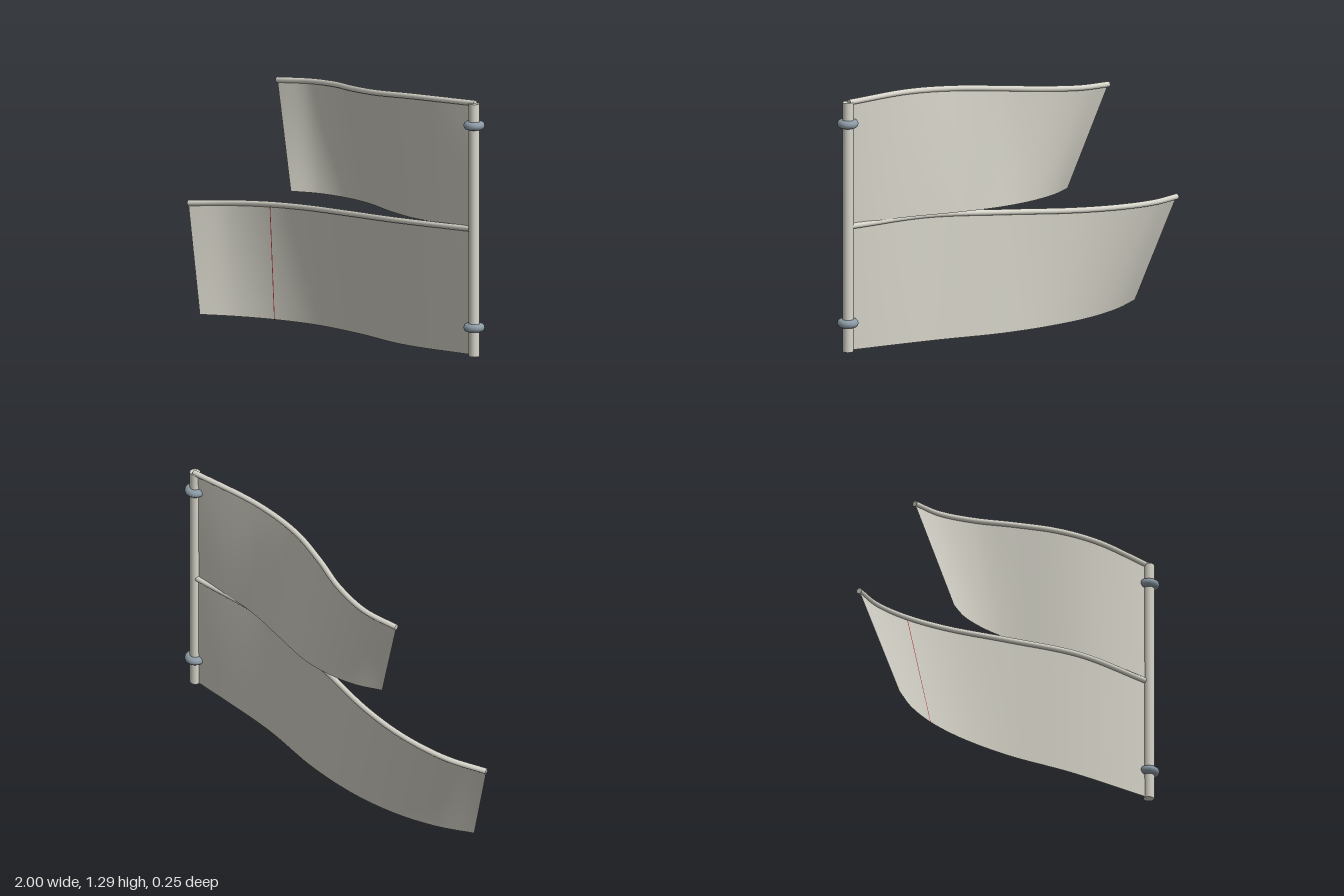
import * as THREE from 'three';

const cloth = new THREE.MeshStandardMaterial({ color: 0xd2d0c5, side: THREE.DoubleSide });
cloth.name = 'cloth';
const rod = new THREE.MeshStandardMaterial({ color: 0xd8d6cb });
rod.name = 'rod';
const steel = new THREE.MeshStandardMaterial({ color: 0x8d9ba6 });
steel.name = 'steel';
const red = new THREE.MeshStandardMaterial({ color: 0xa83232, side: THREE.DoubleSide });
red.name = 'red';

const POLE_X = 0.945, POLE_Z = 0.03;
const curve = (pts) => new THREE.CatmullRomCurve3(pts.map((p) => new THREE.Vector3(...p)));

function part(name, geometry, material, parent) {
  const mesh = new THREE.Mesh(geometry, material);
  mesh.name = name;
  parent.add(mesh);
  return mesh;
}

// Ruled sheet between an upper and a lower edge curve
function sheet(top, bottom, u0 = 0, u1 = 1, dz = 0, cols = 64, rows = 8) {
  const geo = new THREE.PlaneGeometry(1, 1, cols, rows);
  const pos = geo.attributes.position, uv = geo.attributes.uv;
  for (let i = 0; i < pos.count; i++) {
    const u = u0 + (u1 - u0) * uv.getX(i);
    const p = bottom.getPoint(u).lerp(top.getPoint(u), uv.getY(i));
    pos.setXYZ(i, p.x, p.y, p.z + dz);
  }
  geo.computeVertexNormals();
  return geo;
}

// Waving panel with a round bead along its upper edge
function panel(name, top, bottom, parent) {
  const group = new THREE.Group();
  group.name = name;
  part(name + 'Cloth', sheet(top, bottom), cloth, group);
  part(name + 'Bead', new THREE.TubeGeometry(top, 80, 0.014, 12), rod, group);
  // Closed ends of the bead
  [0, 1].forEach((t) => {
    const cap = part(name + 'BeadEnd', new THREE.CircleGeometry(0.014, 12), rod, group);
    const dir = top.getTangentAt(t).multiplyScalar(t ? 1 : -1);
    cap.position.copy(top.getPointAt(t));
    cap.quaternion.setFromUnitVectors(new THREE.Vector3(0, 0, 1), dir);
  });
  parent.add(group);
}

export function createModel() {
  const model = new THREE.Group();
  model.name = 'bannerOnPole';

  // Pole
  part('pole', new THREE.CylinderGeometry(0.026, 0.026, 1.225, 24), rod, model)
    .position.set(POLE_X, 0.6625, POLE_Z);

  // Clamp rings
  [0.19, 1.17].forEach((y) => {
    const ring = part('clampRing', new THREE.TorusGeometry(0.031, 0.02, 12, 32), steel, model);
    ring.rotation.x = Math.PI / 2;
    ring.position.set(POLE_X, y, POLE_Z);
  });

  // Upper panel
  const upperTop = curve([
    [-0.508, 1.157, -0.085], [-0.32, 1.175, -0.112], [-0.12, 1.195, -0.08], [0.08, 1.214, -0.008],
    [0.3, 1.236, 0.053], [0.56, 1.259, 0.065], [0.945, 1.276, 0.022],
  ]);
  const upperBottom = curve([
    [-0.33, 0.655, 0.0], [-0.2, 0.655, -0.058], [-0.04, 0.654, -0.085], [0.12, 0.652, -0.078],
    [0.33, 0.649, -0.028], [0.57, 0.655, 0.02], [0.945, 0.675, 0.03],
  ]);
  panel('upperPanel', upperTop, upperBottom, model);

  // Lower panel
  const lowerTop = curve([
    [-0.995, 0.502, 0.03], [-0.8, 0.521, -0.05], [-0.56, 0.544, -0.088], [-0.3, 0.568, -0.078],
    [0.05, 0.602, -0.015], [0.45, 0.638, 0.05], [0.93, 0.664, 0.025],
  ]);
  const lowerBottom = curve([
    [-0.82, 0.002, 0.125], [-0.66, 0.004, 0.04], [-0.465, 0.008, -0.025], [-0.22, 0.014, -0.06],
    [0.08, 0.019, -0.048], [0.45, 0.029, 0.013], [0.945, 0.055, 0.03],
  ]);
  panel('lowerPanel', lowerTop, lowerBottom, model);

  // Thin seam line on the front of the lower panel
  part('seamLine', sheet(lowerTop, lowerBottom, 0.332, 0.335, 0.002, 1, 8), red, model);

  return model;
}
